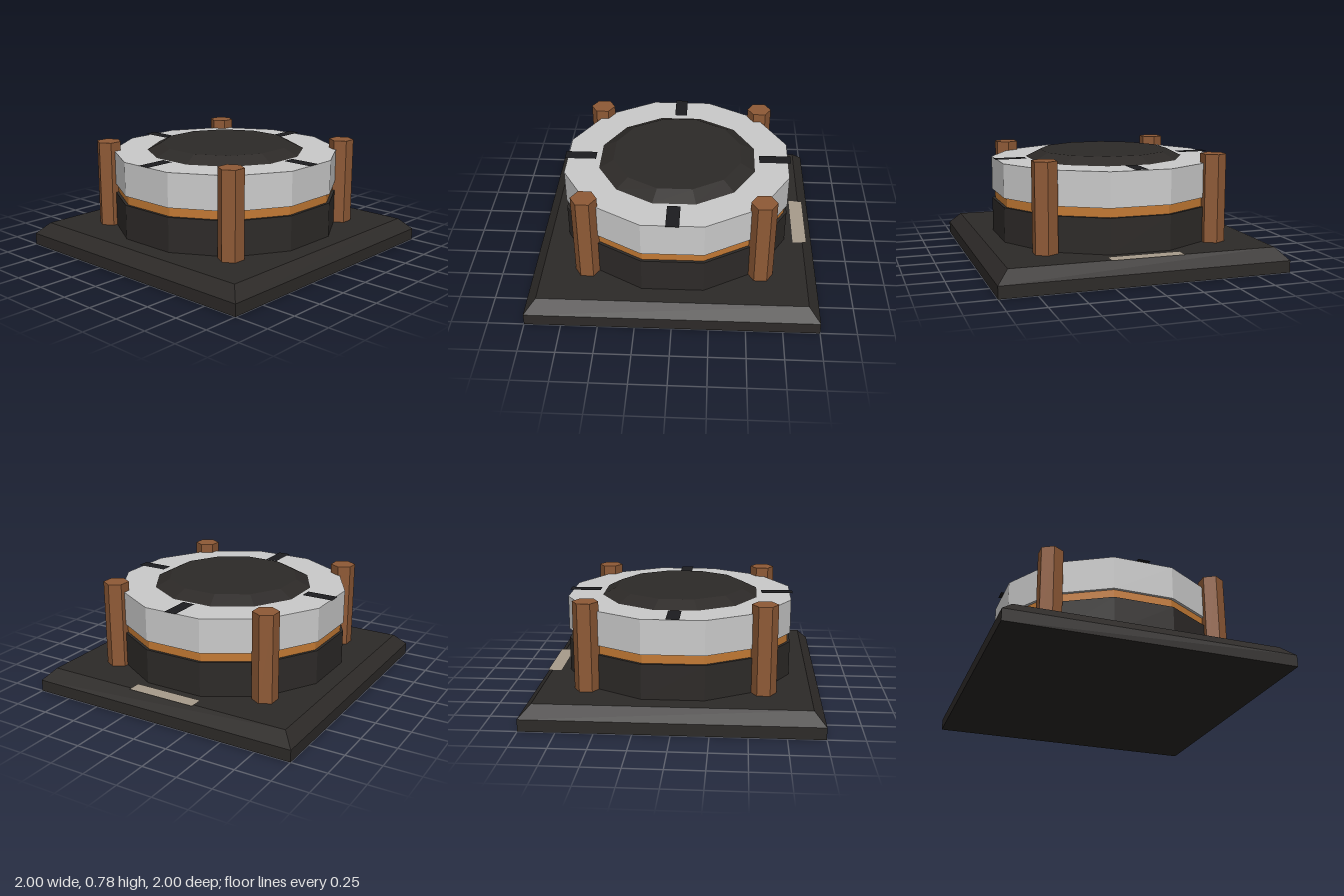
import * as THREE from 'three';

const mat = (color, side = THREE.FrontSide) =>
  new THREE.MeshStandardMaterial({ color, side, flatShading: true });

export function createModel() {
  const model = new THREE.Group();
  model.name = 'pedestal';

  const add = (name, geometry, material, x = 0, y = 0, z = 0) => {
    const mesh = new THREE.Mesh(geometry, material);
    mesh.name = name;
    mesh.position.set(x, y, z);
    model.add(mesh);
    return mesh;
  };

  // Twelve-sided drum with flats facing the axes; radii are measured to the flats
  const drum = (name, bottomFlat, topFlat, y0, y1, material) => {
    const k = 1 / Math.cos(Math.PI / 12);
    const geometry = new THREE.CylinderGeometry(topFlat * k, bottomFlat * k, y1 - y0, 12);
    geometry.rotateY(Math.PI / 12);
    return add(name, geometry, material, 0, (y0 + y1) / 2, 0);
  };

  const dark = mat(0x2d2a28);
  const steel = mat(0xcccccc);
  const copper = mat(0xc47a34);
  const bronze = mat(0x8f5a36);
  const slot = mat(0x1c1c1f, THREE.DoubleSide);

  // Square base: straight plinth with a chamfered upper part
  add('basePlinth', new THREE.BoxGeometry(2, 0.083, 2), dark, 0, 0.0415, 0);
  const chamfer = new THREE.CylinderGeometry(0.92 * Math.SQRT2, Math.SQRT2, 0.082, 4);
  chamfer.rotateY(Math.PI / 4);
  add('baseChamfer', chamfer, dark, 0, 0.124, 0);

  // Stacked drums
  drum('lowerDrum', 0.79, 0.79, 0.165, 0.41, dark);
  drum('copperBand', 0.77, 0.77, 0.41, 0.475, copper);
  drum('upperRing', 0.79, 0.79, 0.475, 0.715, steel);
  drum('centreCap', 0.55, 0.45, 0.715, 0.767, dark);

  // Hexagonal corner posts
  const postGeometry = new THREE.CylinderGeometry(0.089, 0.089, 0.615, 6);
  for (const x of [-0.6, 0.6])
    for (const z of [-0.6, 0.6])
      add('cornerPost', postGeometry, bronze, x, 0.4725, z);

  // Four flat markers across the ring top
  const markerGeometry = new THREE.PlaneGeometry(0.09, 0.225);
  markerGeometry.rotateX(-Math.PI / 2);
  for (let i = 0; i < 4; i++) {
    const a = (i * Math.PI) / 2;
    const marker = add('ringMarker', markerGeometry, slot,
      0.697 * Math.sin(a), 0.722, 0.697 * Math.cos(a));
    marker.rotation.y = a;
  }

  // Flat plate at the back edge of the base
  const plateGeometry = new THREE.PlaneGeometry(0.505, 0.1);
  plateGeometry.rotateX(-Math.PI / 2);
  add('backPlate', plateGeometry, mat(0xa89c8c, THREE.DoubleSide), 0, 0.17, -0.9);

  return model;
}
